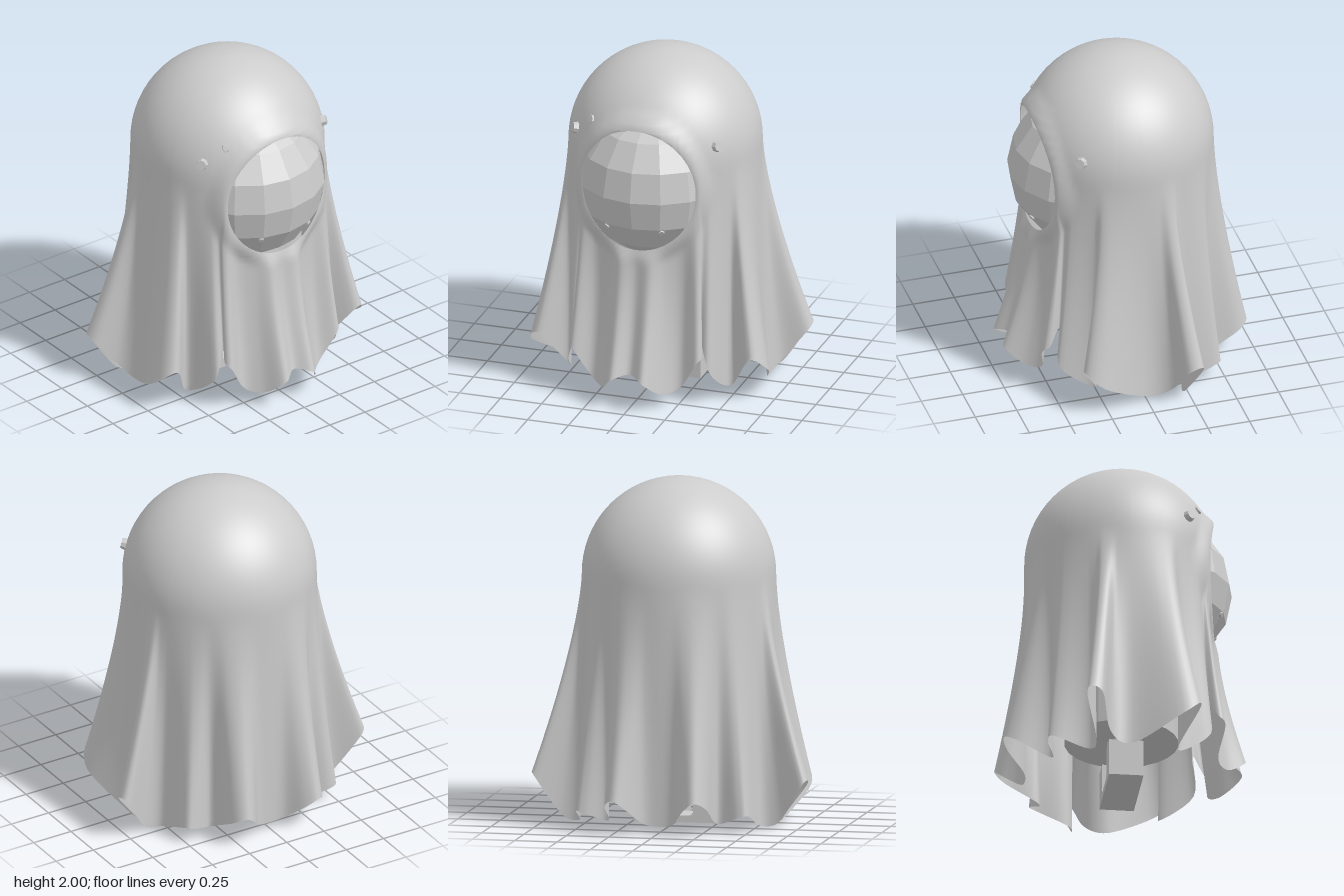
import * as THREE from 'three';

const HEAD_Y = 1.44, HEAD_R = 0.56;

// Hem of one half, front to back: x, z, height, angle on the head in degrees
const HEM = [
  [0, 0.65, 0.21, 0], [0.10, 0.71, 0.18, 9], [0.18, 0.60, 0.09, 17], [0.27, 0.53, 0.12, 27],
  [0.37, 0.56, 0.28, 35], [0.40, 0.52, 0.33, 39], [0.36, 0.45, 0.42, 42], [0.43, 0.47, 0.20, 47],
  [0.49, 0.27, 0.06, 60], [0.64, 0.39, 0.28, 66], [0.72, 0.28, 0.19, 72], [0.62, 0.0, 0.03, 90],
  [0.66, -0.14, 0.08, 99], [0.80, -0.20, 0.26, 104], [0.79, -0.29, 0.27, 108], [0.64, -0.22, 0.04, 112],
  [0.53, -0.25, 0.02, 117], [0.51, -0.45, 0.10, 131], [0.45, -0.48, 0.09, 137], [0.32, -0.44, 0.05, 144],
  [0.30, -0.64, 0.16, 152], [0.24, -0.71, 0.20, 159], [0.17, -0.68, 0.15, 165], [0.09, -0.58, 0.06, 172],
  [0, -0.56, 0.04, 180],
];

// Face opening, an ellipse seen from the front
const HOLE = { y: 1.31, rx: 0.345, ry: 0.37 };

function clothGeometry() {
  const loop = [...HEM, ...HEM.slice(1, -1).reverse().map(([x, z, y, a]) => [-x, z, y, 360 - a])];
  const hem = new THREE.CatmullRomCurve3(loop.map(([x, z, y]) => new THREE.Vector3(x, y, z)), true, 'catmullrom', 0.5);
  const n = loop.length, cols = n * 6, domeRows = 18, skirtRows = 42;
  const rows = domeRows + skirtRows;
  const pos = [], inside = [], index = [];

  for (let i = 0; i <= rows; i++) {
    for (let j = 0; j < cols; j++) {
      const u = j / 6, k = Math.floor(u), f = u - k;
      const a0 = loop[k][3], a1 = k + 1 < n ? loop[k + 1][3] : 360;
      const phi = THREE.MathUtils.degToRad(a0 + (a1 - a0) * f);
      const p = new THREE.Vector3(Math.sin(phi) * HEAD_R, 0, Math.cos(phi) * HEAD_R);
      if (i <= domeRows) {
        const t = (i / domeRows) * Math.PI / 2;
        p.multiplyScalar(Math.sin(t));
        p.y = HEAD_Y + HEAD_R * Math.cos(t);
      } else {
        const t = (i - domeRows) / skirtRows, h = hem.getPoint(j / cols);
        const s = Math.pow(t, 1.4);
        p.set(p.x + (h.x - p.x) * s, HEAD_Y + (h.y - HEAD_Y) * t, p.z + (h.z - p.z) * s);
        // The apron below the face hangs closer in
        p.z -= 0.055 * Math.sin(Math.PI * t) * THREE.MathUtils.smoothstep(Math.cos(phi), 0.75, 0.95);
      }
      // Pull the cloth onto the rim of the opening
      let isIn = false;
      if (p.z > 0.2) {
        const e = Math.hypot(p.x / HOLE.rx, (p.y - HOLE.y) / HOLE.ry);
        isIn = e < 1;
        if (isIn) {
          const g = 1 / Math.max(e, 0.01);
          p.x *= g;
          p.y = HOLE.y + (p.y - HOLE.y) * g;
        }
        if (e < 1.25) {
          const d = (p.y - HOLE.y) / HOLE.ry;
          const rimZ = 0.475 + 0.05 * d * d;
          const w = isIn ? 1 : THREE.MathUtils.smoothstep(1.25 - e, 0, 0.25);
          p.z += (rimZ - p.z) * w;
        }
      }
      inside.push(isIn);
      pos.push(p.x, p.y, p.z);
    }
  }
  const tri = (a, b, c) => { if (!(inside[a] && inside[b] && inside[c])) index.push(a, b, c); };
  for (let i = 0; i < rows; i++) {
    for (let j = 0; j < cols; j++) {
      const a = i * cols + j, b = i * cols + (j + 1) % cols, c = a + cols, d = b + cols;
      if (i > 0) tri(a, c, b);
      tri(b, c, d);
    }
  }
  const geo = new THREE.BufferGeometry();
  geo.setAttribute('position', new THREE.Float32BufferAttribute(pos, 3));
  geo.setIndex(index);
  geo.computeVertexNormals();
  return geo;
}

export function createModel() {
  const model = new THREE.Group();
  const clothGrey = new THREE.MeshStandardMaterial({ color: 0xcccccc, side: THREE.DoubleSide });
  clothGrey.name = 'cloth grey';
  const solidGrey = new THREE.MeshStandardMaterial({ color: 0xcbcbcb, flatShading: true });
  solidGrey.name = 'solid grey';

  const add = (name, geo, mat, x = 0, y = 0, z = 0) => {
    const mesh = new THREE.Mesh(geo, mat);
    mesh.name = name;
    mesh.position.set(x, y, z);
    model.add(mesh);
    return mesh;
  };
  // Small stud whose axis points along a direction
  const stud = (name, r, h, at, from) => {
    const mesh = add(name, new THREE.CylinderGeometry(r * 0.75, r, h, 8), solidGrey, ...at);
    const dir = new THREE.Vector3(...at).sub(new THREE.Vector3(...from)).normalize();
    mesh.quaternion.setFromUnitVectors(new THREE.Vector3(0, 1, 0), dir);
    return mesh;
  };

  // Draped sheet with the face opening
  add('cloth', clothGeometry(), clothGrey);

  // Faceted face ball behind the opening
  const ball = [0, 1.275, 0.185];
  add('faceBall', new THREE.SphereGeometry(0.455, 16, 8), solidGrey, ...ball);

  // Studs on the sheet and on the ball
  for (const s of [-1, 1]) {
    stud('sideStud', 0.038, 0.04, [s * 0.432, 1.575, 0.342], [0, HEAD_Y, 0]);
    stud('ballStud', 0.02, 0.02, [s * 0.165, 1.085, 0.557], ball);
  }
  stud('browStud', 0.03, 0.02, [-0.31, 1.67, 0.405], [0, HEAD_Y, 0]).scale.x = 0.7;

  // Flat-bottomed inner body and stem
  add('innerBody', new THREE.CylinderGeometry(0.33, 0.33, 0.6, 24), solidGrey, 0, 0.61, 0);
  add('stem', new THREE.CylinderGeometry(0.085, 0.07, 0.27, 12), solidGrey, 0, 0.195, 0);

  // Foot block with a slot around the stem
  const foot = new THREE.Shape();
  foot.moveTo(-0.245, 0).lineTo(0.245, 0).lineTo(0.245, 0.22).lineTo(0.105, 0.22).lineTo(0.105, 0.07)
    .quadraticCurveTo(0.105, 0.04, 0.075, 0.04).lineTo(-0.075, 0.04)
    .quadraticCurveTo(-0.105, 0.04, -0.105, 0.07).lineTo(-0.105, 0.22).lineTo(-0.245, 0.22).closePath();
  add('footBlock', new THREE.ExtrudeGeometry(foot, { depth: 0.2, bevelEnabled: false, curveSegments: 4 }), solidGrey, 0, 0, -0.1);

  return model;
}
